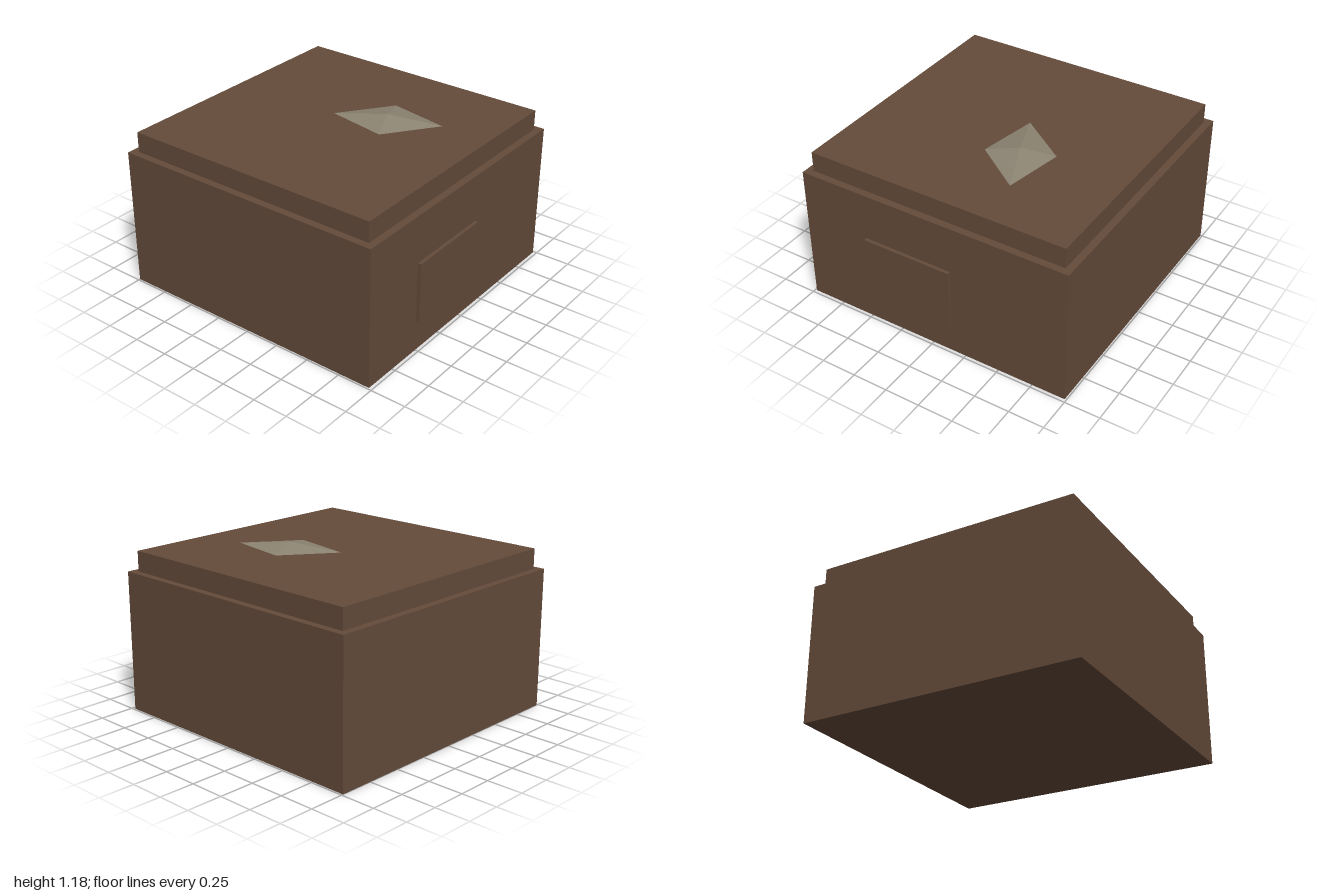
import * as THREE from 'three';

const brown = new THREE.MeshStandardMaterial({ color: 0x644b3a });
brown.name = 'brown wood';
const stone = new THREE.MeshStandardMaterial({ color: 0x8c8472 });
stone.name = 'grey stone';

// Box given by its two opposite corners
function block(name, [x0, y0, z0], [x1, y1, z1]) {
  const mesh = new THREE.Mesh(new THREE.BoxGeometry(x1 - x0, y1 - y0, z1 - z0), brown);
  mesh.position.set((x0 + x1) / 2, (y0 + y1) / 2, (z0 + z1) / 2);
  mesh.name = name;
  return mesh;
}

export function createModel() {
  const model = new THREE.Group();
  model.name = 'box';

  model.add(
    block('body', [-1, 0, -0.988], [0.976, 0.985, 0.988]),
    block('lid', [-0.95, 0.985, -0.938], [0.926, 1.127, 0.938]),
    block('sidePanel', [0.976, 0.226, -0.148], [1, 0.65, 0.5])
  );

  // Flattened octahedral gem, half sunk into the lid
  const gem = new THREE.Mesh(new THREE.OctahedronGeometry(1), stone);
  gem.name = 'gem';
  gem.scale.set(0.369, 0.041, 0.232);
  gem.rotation.y = 0.382;
  gem.position.set(0.233, 1.135, -0.199);
  model.add(gem);

  return model;
}
